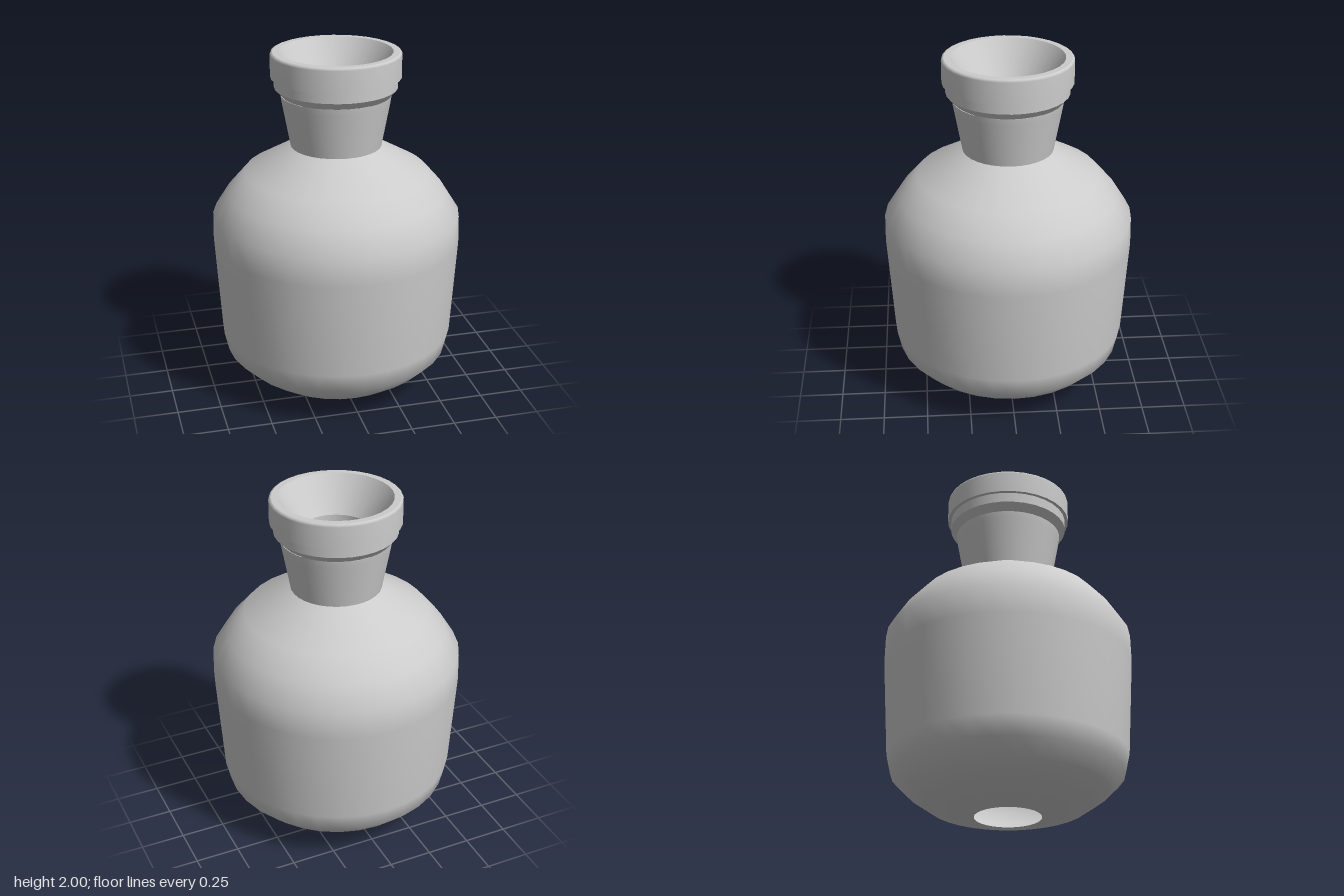
import * as THREE from 'three';

const SEGMENTS = 32;
const material = new THREE.MeshStandardMaterial({ color: 0xcccccc, side: THREE.DoubleSide });

// Revolves a [radius, height] profile; each profile is one smooth band
function band(name, profile) {
  const points = profile.map(([r, y]) => new THREE.Vector2(r, y));
  const mesh = new THREE.Mesh(new THREE.LatheGeometry(points, SEGMENTS), material);
  mesh.name = name;
  return mesh;
}

// Splits a profile into straight bands so every corner stays sharp
function sharpBands(name, profile) {
  const group = new THREE.Group();
  group.name = name;
  for (let i = 1; i < profile.length; i++) {
    group.add(band(`${name}Band${i}`, [profile[i - 1], profile[i]]));
  }
  return group;
}

export function createModel() {
  const model = new THREE.Group();
  model.name = 'bottle';

  // Rounded body, open underneath
  model.add(band('body', [
    [0.187, 0], [0.445, 0.06], [0.56, 0.14], [0.65, 0.23], [0.675, 0.34],
    [0.71, 0.9], [0.707, 1.06], [0.625, 1.19], [0.52, 1.31], [0.257, 1.46],
  ]));

  // Flared neck
  model.add(band('neck', [[0.257, 1.46], [0.305, 1.72], [0.31, 1.757]]));

  // Stepped collar under the lip
  model.add(sharpBands('collar', [[0.305, 1.757], [0.345, 1.8], [0.345, 1.86], [0.365, 1.86]]));

  // Lip with a softened upper edge
  model.add(band('lip', [[0.365, 1.86], [0.365, 1.985], [0.361, 1.996], [0.352, 2]]));
  model.add(band('lipTop', [[0.352, 2], [0.316, 2]]));

  // Funnel mouth, throat and its floor
  model.add(sharpBands('mouth', [[0.316, 2], [0.19, 1.8], [0.19, 1.46], [0, 1.46]]));

  return model;
}
